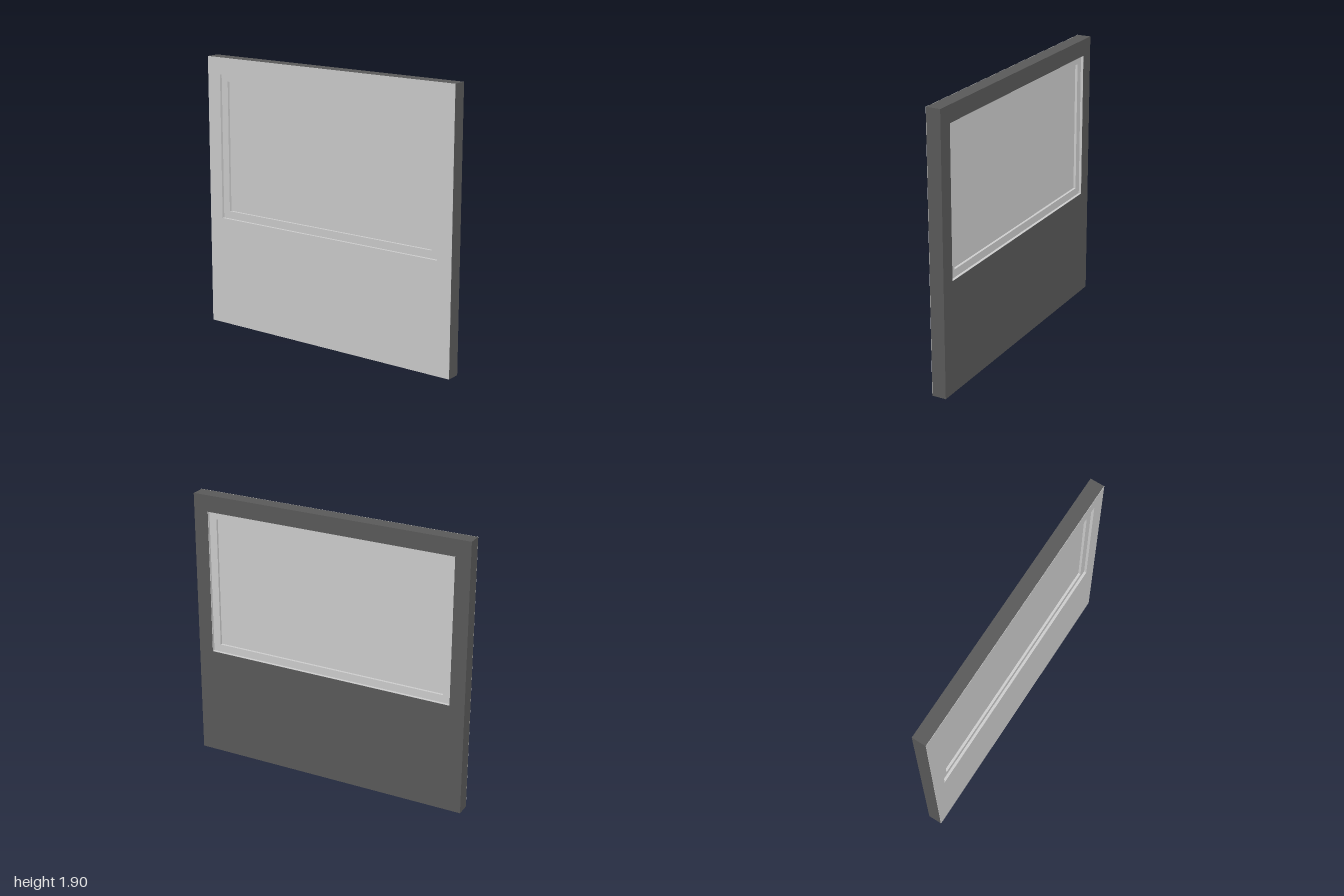
import * as THREE from 'three';

const H = 1.905;       // panel height
const T = 0.1;         // panel thickness
const SKIN = 0.002;    // thickness of the painted layers

function rect(Type, x, y0, y1) {
  const r = new Type();
  r.moveTo(-x, y0);
  r.lineTo(x, y0);
  r.lineTo(x, y1);
  r.lineTo(-x, y1);
  r.closePath();
  return r;
}

// Rectangular ring, given as [halfWidth, bottom, top], between two depths
function ring(name, outer, inner, z0, z1, material) {
  const shape = rect(THREE.Shape, ...outer);
  shape.holes.push(rect(THREE.Path, ...inner));
  const geometry = new THREE.ExtrudeGeometry(shape, { depth: z1 - z0, bevelEnabled: false });
  geometry.translate(0, 0, z0);
  const mesh = new THREE.Mesh(geometry, material);
  mesh.name = name;
  return mesh;
}

export function createModel() {
  const light = new THREE.MeshStandardMaterial({ color: 0xcccccc });
  light.name = 'light grey';
  const dark = new THREE.MeshStandardMaterial({ color: 0x595959 });
  dark.name = 'dark grey';

  const panel = [1, 0, H];
  const opening = [0.895, 0.77, 1.79];
  const lined = [0.895 - SKIN, 0.77 + SKIN, 1.79 - SKIN];
  const pane = [0.84, 0.825, 1.74];

  const group = new THREE.Group();
  group.name = 'windowPanel';

  // Dark wall with a light front face and a light lining in the opening
  group.add(ring('wall', panel, opening, -T / 2, T / 2 - SKIN, dark));
  group.add(ring('wallFront', panel, opening, T / 2 - SKIN, T / 2, light));
  group.add(ring('openingLining', opening, lined, -T / 2, T / 2, light));

  // Recessed frame, and the pane set deeper inside it
  group.add(ring('windowFrame', lined, pane, -0.032, 0.032, light));
  const [w, y0, y1] = pane;
  const glass = new THREE.Mesh(new THREE.BoxGeometry(2 * w, y1 - y0, 0.03), light);
  glass.position.y = (y0 + y1) / 2;
  glass.name = 'windowPane';
  group.add(glass);

  return group;
}
